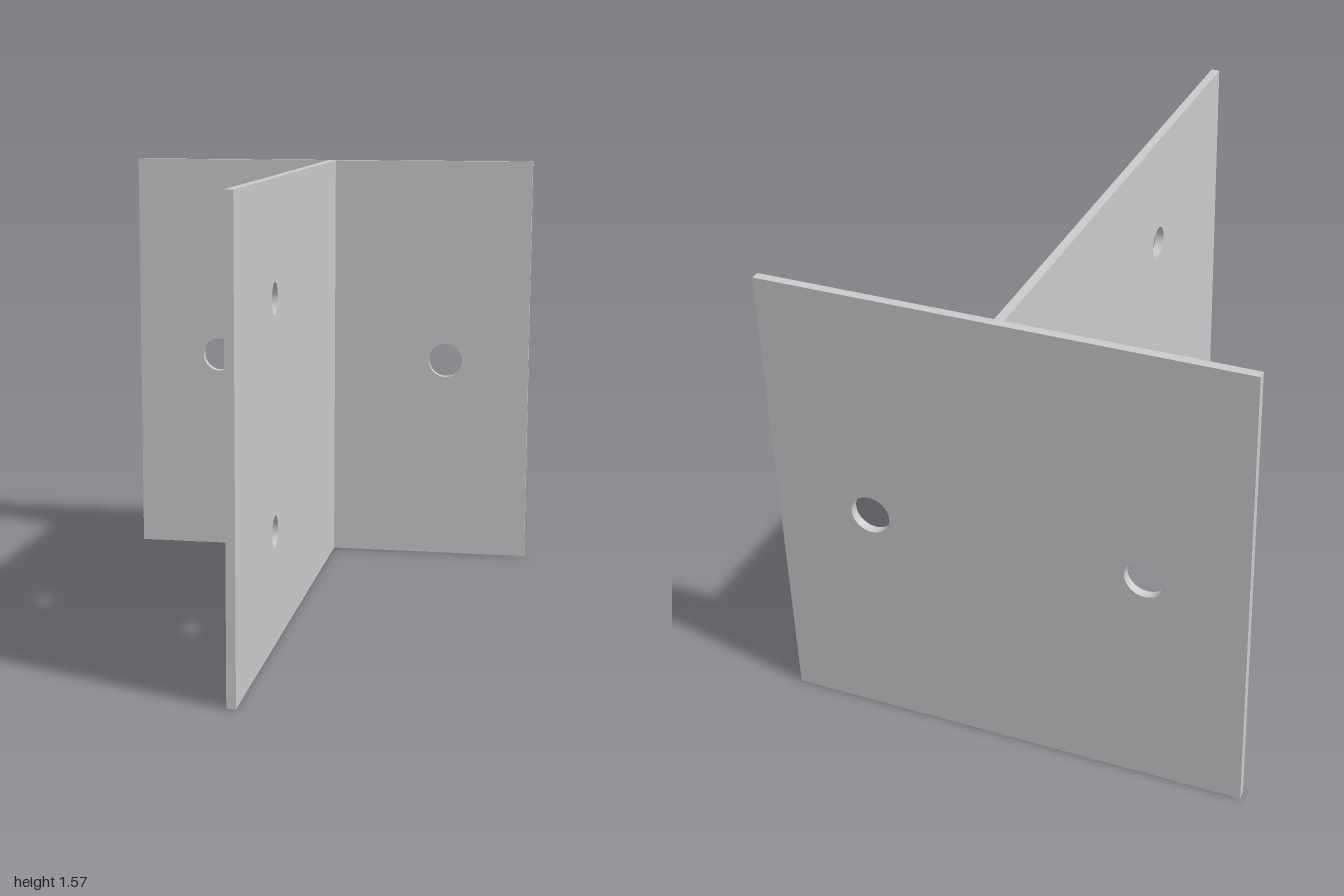
import * as THREE from 'three';

const HEIGHT = 1.574;
const THICK = 0.03;

// Upright plate from x0 to x1 with round holes [x, y, radius], centred on z = 0
function plateGeometry(x0, x1, holes) {
  const shape = new THREE.Shape();
  shape.moveTo(x0, 0);
  shape.lineTo(x1, 0);
  shape.lineTo(x1, HEIGHT);
  shape.lineTo(x0, HEIGHT);
  shape.closePath();
  for (const [x, y, r] of holes) {
    const hole = new THREE.Path();
    hole.absarc(x, y, r, 0, Math.PI * 2, true);
    shape.holes.push(hole);
  }
  const geometry = new THREE.ExtrudeGeometry(shape, { depth: THICK, bevelEnabled: false, curveSegments: 48 });
  return geometry.translate(0, 0, -THICK / 2);
}

export function createModel() {
  const group = new THREE.Group();
  group.name = 'teeBracket';
  const material = new THREE.MeshStandardMaterial({ color: 0xcccccc });

  // Back plate with two mounting holes at mid height
  const backHoles = [-1, 1].map((side) => [side * 0.459, HEIGHT / 2, 0.066]);
  const backPlate = new THREE.Mesh(plateGeometry(-HEIGHT / 2, HEIGHT / 2, backHoles), material);
  backPlate.name = 'backPlate';
  backPlate.position.z = -1 + THICK / 2;
  group.add(backPlate);

  // Web plate running forward from the back plate, with two bolt holes
  const webHoles = [0.25, 0.75].map((t) => [0.345, HEIGHT * t, 0.054]);
  const webPlate = new THREE.Mesh(plateGeometry(-1 + THICK, 1, webHoles), material);
  webPlate.name = 'webPlate';
  webPlate.rotation.y = -Math.PI / 2;
  group.add(webPlate);

  return group;
}
